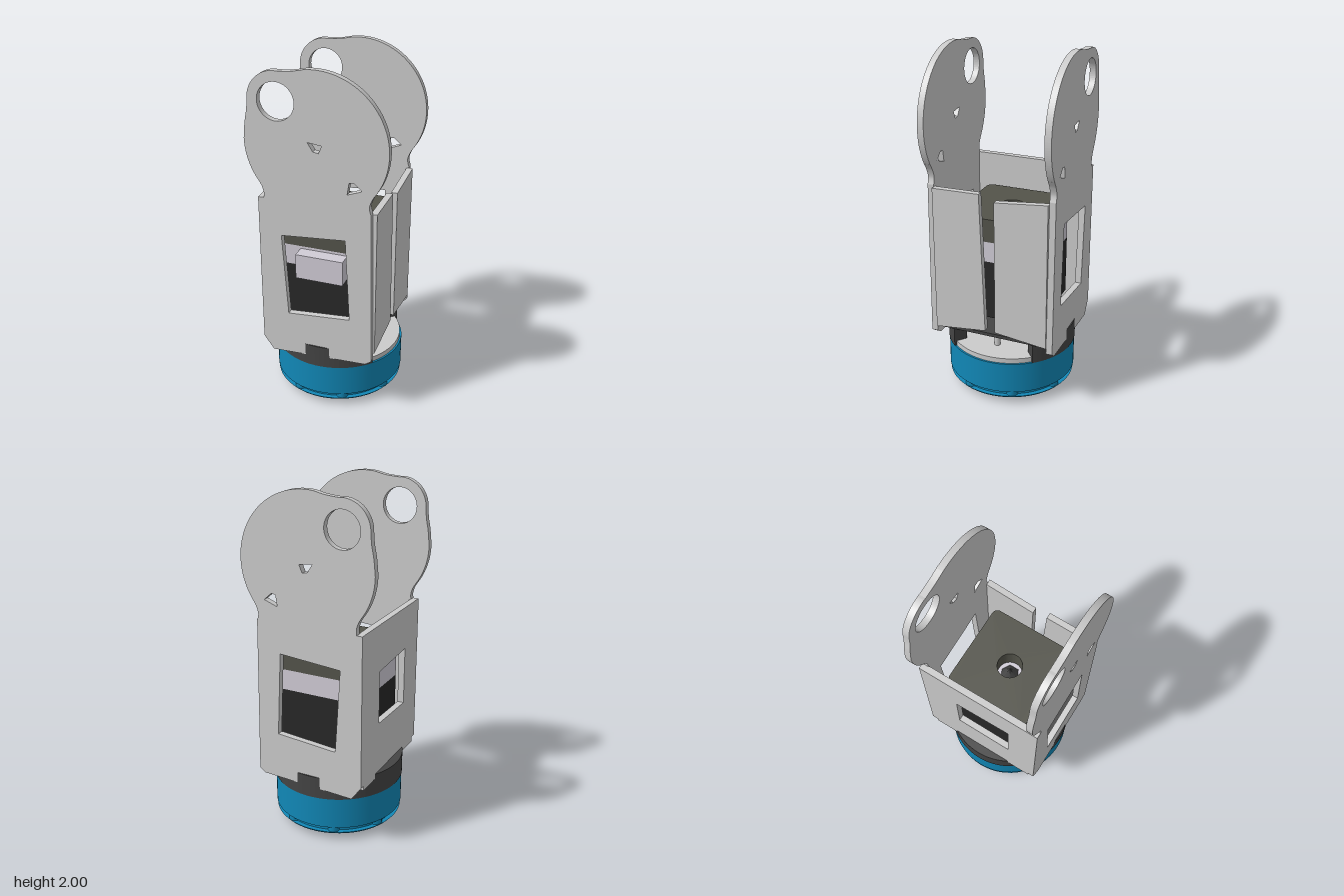
import * as THREE from 'three';

const mat = (color, side = THREE.FrontSide) => new THREE.MeshStandardMaterial({ color, side });
const grey = mat(0xcccccc);
const blue = mat(0x1187b6);
const dark = mat(0x444444);
const black = mat(0x282828);
const olive = mat(0x53534a);
const pale = mat(0xd0ccd6);

const points = (list) => list.map(([x, y]) => new THREE.Vector2(x, y));
const polygon = (list) => new THREE.Shape(points(list));
const circlePath = (x, y, r) => new THREE.Path().absarc(x, y, r, 0, Math.PI * 2, true);

function add(group, name, geometry, material, x = 0, y = 0, z = 0) {
  const mesh = new THREE.Mesh(geometry, material);
  mesh.name = name;
  mesh.position.set(x, y, z);
  group.add(mesh);
  return mesh;
}

const extrude = (shape, depth) =>
  new THREE.ExtrudeGeometry(shape, { depth, bevelEnabled: false, curveSegments: 32 });

// Horizontal slab: the shape lies in plan and is raised from y0 to y1
function slab(group, name, shape, y0, y1, material) {
  const geometry = extrude(shape, y1 - y0).rotateX(-Math.PI / 2);
  return add(group, name, geometry, material, 0, y0, 0);
}

// Upright panel in the z-y plane, its outer face at x
function sidePanel(group, name, shape, x, thickness) {
  return add(group, name, extrude(shape, thickness).rotateY(-Math.PI / 2), grey, x);
}

function roundedSquare(h, r) {
  const s = new THREE.Shape();
  s.absarc(h - r, h - r, r, 0, Math.PI / 2);
  s.absarc(r - h, h - r, r, Math.PI / 2, Math.PI);
  s.absarc(r - h, r - h, r, Math.PI, Math.PI * 1.5);
  s.absarc(h - r, r - h, r, Math.PI * 1.5, Math.PI * 2);
  s.closePath();
  return s;
}

// Side plate with round head, eared corner, window and holes
function plateShape() {
  const s = new THREE.Shape();
  s.moveTo(-0.27, 0.32);
  s.lineTo(0.285, 0.345);
  s.lineTo(0.32, 0.37);
  s.lineTo(0.305, 1.27);
  s.splineThru(points([[0.296, 1.31], [0.31, 1.355], [0.335, 1.395]]));
  s.absarc(0, 1.605, 0.395, -0.56, 1.7);
  s.splineThru(points([[-0.12, 1.982], [-0.2, 1.975]]));
  s.absarc(-0.21, 1.82, 0.157, 1.6, Math.PI);
  s.splineThru(points([[-0.372, 1.76], [-0.385, 1.69], [-0.394, 1.605]]));
  s.absarc(0, 1.605, 0.394, Math.PI, Math.PI + 0.56);
  s.splineThru(points([[-0.305, 1.35], [-0.293, 1.31], [-0.295, 1.28]]));
  s.lineTo(-0.328, 1.28);
  s.lineTo(-0.328, 0.4);
  s.closePath();
  s.holes.push(
    circlePath(-0.21, 1.818, 0.102),
    new THREE.Path(points([[-0.17, 0.585], [-0.2, 1.07], [0.165, 1.1], [0.19, 0.615]])),
    new THREE.Path(points([[-0.04, 1.622], [0.038, 1.612], [0.02, 1.57], [-0.01, 1.575]])),
    new THREE.Path(points([[0.175, 1.365], [0.185, 1.43], [0.21, 1.435], [0.255, 1.395]]))
  );
  return s;
}

function buildBracket() {
  const g = new THREE.Group();
  g.name = 'bracket';
  const plate = extrude(plateShape(), 0.037);
  add(g, 'frontPlate', plate, grey, 0, 0, 0.335);
  add(g, 'backPlate', plate, grey, 0, 0, -0.372);

  // Closed wall with a window
  const wall = polygon([[-0.336, 0.37], [0.336, 0.37], [0.336, 1.28], [-0.336, 1.28]]);
  wall.holes.push(new THREE.Path(points([[-0.15, 0.7], [-0.15, 1.01], [0.19, 1.03], [0.19, 0.69]])));
  sidePanel(g, 'closedWall', wall, -0.29, 0.038);

  // Two flanges with a tapered slot between them
  sidePanel(g, 'frontFlange',
    polygon([[0.03, 0.44], [0.336, 0.405], [0.336, 1.26], [0.058, 1.265]]), 0.328, 0.036);
  sidePanel(g, 'backFlange',
    polygon([[-0.336, 0.405], [-0.03, 0.44], [-0.03, 1.23], [-0.336, 1.26]]), 0.328, 0.036);
  return g;
}

function buildMotor() {
  const g = new THREE.Group();
  g.name = 'motor';
  const body = roundedSquare(0.257, 0.035);
  slab(g, 'motorBase', body, 0.49, 0.84, black);
  slab(g, 'motorMiddle', body, 0.84, 0.96, pale);
  const cap = roundedSquare(0.257, 0.035);
  cap.holes.push(circlePath(0, 0, 0.072));
  slab(g, 'motorCap', cap, 0.96, 1.095, olive);
  add(g, 'shaftTip', new THREE.ConeGeometry(0.055, 0.08, 6), dark, 0, 1.0, 0);
  add(g, 'connector', new THREE.BoxGeometry(0.274, 0.145, 0.085), pale, 0, 0.873, 0.293);

  // Posts carrying the motor
  for (let i = 0; i < 4; i++) {
    const a = i * Math.PI / 2;
    add(g, 'post', new THREE.CylinderGeometry(0.018, 0.018, 0.21, 12), grey,
      0.22 * Math.cos(a), 0.39, 0.22 * Math.sin(a));
  }
  return g;
}

function buildAdapter() {
  const g = new THREE.Group();
  g.name = 'adapter';
  // C-shaped wall, open toward +x
  const open = 0.7;
  const ring = new THREE.Shape();
  ring.absarc(0, 0, 0.379, open, Math.PI * 2 - open);
  ring.absarc(0, 0, 0.3, Math.PI * 2 - open, open, true);
  ring.closePath();
  slab(g, 'adapterWall', ring, 0.27, 0.4, dark);
  slab(g, 'adapterTop', polygon([[-0.29, -0.335], [0.29, -0.335], [0.29, 0.335], [-0.29, 0.335]]),
    0.385, 0.405, dark);
  add(g, 'adapterFloor', new THREE.CylinderGeometry(0.365, 0.365, 0.03, 64), grey, 0, 0.285, 0);
  return g;
}

function buildBase() {
  const g = new THREE.Group();
  g.name = 'base';
  const housing = new THREE.CylinderGeometry(0.376, 0.376, 0.185, 64);
  add(g, 'housing', housing, blue, 0, 0.1775, 0);
  add(g, 'lowerHousing', new THREE.CylinderGeometry(0.345, 0.345, 0.045, 64), blue, 0, 0.065, 0);
  add(g, 'bottomRim', new THREE.CylinderGeometry(0.372, 0.36, 0.014, 64), blue, 0, 0.045, 0);

  // Fastener lugs around the gap
  for (let i = 0; i < 8; i++) {
    const a = (i + 0.5) * Math.PI / 4;
    add(g, 'lug', new THREE.CylinderGeometry(0.035, 0.035, 0.036, 16), blue,
      0.335 * Math.cos(a), 0.068, 0.335 * Math.sin(a));
  }

  // Output disc with a bolt circle
  add(g, 'outputDisc', new THREE.CylinderGeometry(0.335, 0.335, 0.014, 64), dark, 0, 0.033, 0);
  const face = new THREE.Shape().absarc(0, 0, 0.21, 0, Math.PI * 2);
  for (let i = 0; i < 8; i++) {
    const a = i * Math.PI / 4;
    face.holes.push(circlePath(0.145 * Math.cos(a), 0.145 * Math.sin(a), 0.016));
  }
  slab(g, 'outputFace', face, 0.018, 0.027, dark);
  const hub = new THREE.Shape().absarc(0, 0, 0.072, 0, Math.PI * 2);
  hub.holes.push(circlePath(0, 0, 0.042));
  slab(g, 'hub', hub, 0, 0.02, dark);
  add(g, 'hubInsert', new THREE.CylinderGeometry(0.042, 0.042, 0.012, 24), grey, 0, 0.014, 0);
  return g;
}

export function createModel() {
  const model = new THREE.Group();
  model.name = 'actuatorJoint';
  model.add(buildBracket(), buildMotor(), buildAdapter(), buildBase());
  return model;
}
